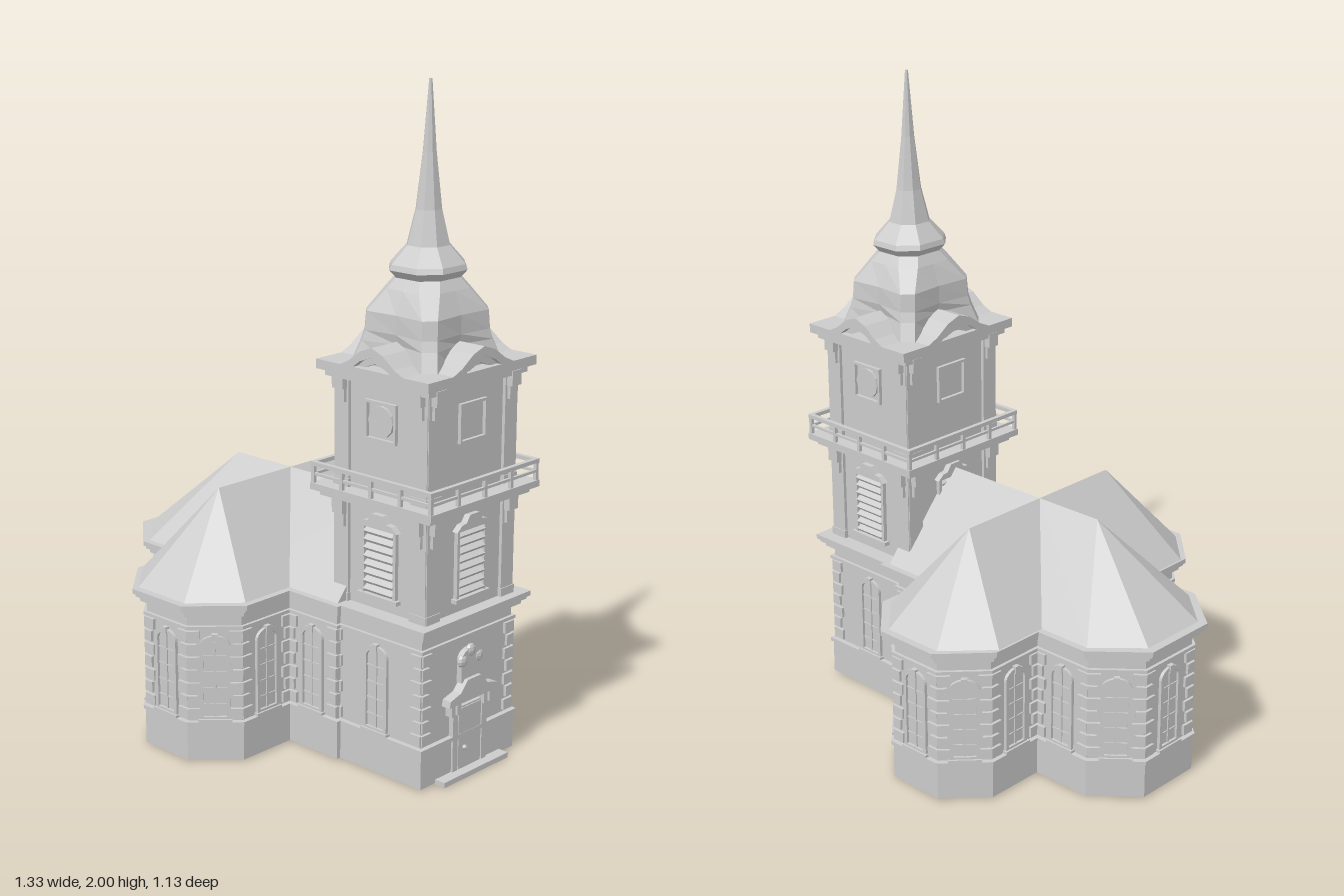
import * as THREE from 'three';
import { ConvexGeometry } from 'three/addons/geometries/ConvexGeometry.js';

const mat = new THREE.MeshStandardMaterial({ color: 0xcccccc, flatShading: true });
const TX = 0.43; // tower axis

function add(parent, name, geo, x = 0, y = 0, z = 0) {
  const m = new THREE.Mesh(geo, mat);
  m.name = name;
  m.position.set(x, y, z);
  parent.add(m);
  return m;
}
const box = (parent, name, w, h, d, x, y, z) =>
  add(parent, name, new THREE.BoxGeometry(w, h, d), x, y, z);
const extrude = (shape, depth) =>
  new THREE.ExtrudeGeometry(shape, { depth, bevelEnabled: false, curveSegments: 6 });
const polyShape = pts => new THREE.Shape(pts.map(p => new THREE.Vector2(p[0], p[1])));

// group whose local +z points out of a wall
function facing(parent, name, x, z, nx, nz) {
  const g = new THREE.Group();
  g.name = name;
  g.position.set(x, 0, z);
  g.rotation.y = Math.atan2(nx, nz);
  parent.add(g);
  return g;
}

// edges of a plan with outward normals
const edges = poly => poly.map((a, i) => {
  const b = poly[(i + 1) % poly.length];
  const dx = b[0] - a[0], dz = b[1] - a[1], len = Math.hypot(dx, dz);
  return { len, nx: dz / len, nz: -dx / len, x: (a[0] + b[0]) / 2, z: (a[1] + b[1]) / 2 };
});
// shrink a plan by d, mitred
function inset(poly, d) {
  const e = edges(poly);
  return poly.map((p, i) => {
    const a = e[(i + poly.length - 1) % poly.length], b = e[i];
    const k = d / (1 + a.nx * b.nx + a.nz * b.nz);
    return [p[0] - (a.nx + b.nx) * k, p[1] - (a.nz + b.nz) * k];
  });
}

function arch(w, h, y0 = 0, path = new THREE.Shape()) {
  const r = w / 2, rise = r * 0.7;
  path.moveTo(-r, y0);
  path.lineTo(r, y0);
  path.lineTo(r, h - rise);
  path.absellipse(0, h - rise, r, rise, 0, Math.PI, false);
  path.lineTo(-r, y0);
  return path;
}

function archedWindow(g) {
  const frame = arch(0.09, 0.265);
  frame.holes.push(arch(0.068, 0.252, 0.012, new THREE.Path()));
  add(g, 'windowFrame', extrude(frame, 0.01), 0, 0.13, 0);
  add(g, 'windowPane', extrude(arch(0.07, 0.255), 0.002), 0, 0.13, 0);
  box(g, 'mullion', 0.006, 0.24, 0.006, 0, 0.255, 0.003);
  for (let i = 0; i < 4; i++) box(g, 'glazingBar', 0.068, 0.004, 0.005, 0, 0.18 + i * 0.05, 0.003);
  box(g, 'keystone', 0.018, 0.022, 0.014, 0, 0.39, 0.007);
  box(g, 'windowSill', 0.1, 0.01, 0.018, 0, 0.13, 0.007);
}

// lower storey over a plan: plinth, walls, bands, quoins and windows
function storey(root, name, eave) {
  const g = new THREE.Group();
  g.name = name;
  root.add(g);
  const layers = [
    ['plinth', 0.03, 0.005, 0.115], ['plinthLip', 0.024, 0.115, 0.127], ['wall', 0.04, 0.127, 0.47],
    ['stringCourse', 0.03, 0.415, 0.425], ['corniceStep', 0.02, 0.46, 0.475], ['cornice', 0.008, 0.475, 0.485], ['eave', 0, 0.485, 0.5],
  ];
  for (const [n, d, y0, y1] of layers) {
    const geo = extrude(polyShape(inset(eave, d).map(p => [p[0], -p[1]])), y1 - y0).rotateX(-Math.PI / 2);
    add(g, n, geo, 0, y0, 0);
  }
  for (const e of edges(inset(eave, 0.04))) {
    if (e.nx < -0.9 && e.x > 0.15) continue;
    if (e.nx > 0.9 && e.x > 0.2 && e.x < 0.4) continue;
    const w = facing(g, 'wallDetail', e.x, e.z, e.nx, e.nz);
    for (const s of [-1, 1]) for (let i = 0; i < 7; i++) {
      const q = i % 2 ? 0.03 : 0.04;
      box(w, 'quoin', q, 0.033, 0.018, s * (e.len / 2 - q / 2 + 0.004), 0.15 + i * 0.0405, 0);
    }
    if (e.nx < 0.9 || e.x < 0.2) archedWindow(w);
  }
}

// hipped or gabled arm of the roof, running along +x before rotation
function roofArm(g, name, halfW, ridge, shoulder, end, nose, turn) {
  const pts = [[0, 0.775, 0], [ridge, 0.775, 0]];
  for (const s of [-1, 1]) pts.push([0, 0.498, s * halfW], [shoulder, 0.498, s * halfW], [end, 0.498, s * nose]);
  const m = add(g, name, new ConvexGeometry(pts.map(p => new THREE.Vector3(...p))), -0.115, 0, 0);
  m.rotation.y = turn;
}

// cornice profile with a swept-up centre; a flat base makes it a solid gable
function hump(halfW, y, thick, flatBase) {
  const rise = [[-1, 0], [-0.56, 0], [-0.4, 0.25], [-0.2, 0.75], [0, 1], [0.2, 0.75], [0.4, 0.25], [0.56, 0], [1, 0]]
    .map(([t, h]) => [t * halfW, y + h * 0.065]);
  const low = flatBase ? [[halfW, y - thick], [-halfW, y - thick]] : rise.map(p => [p[0], p[1] - thick]).reverse();
  return polyShape([...rise, ...low]);
}
function crossHump(g, name, hx, hz, y, thick, flatBase) {
  add(g, name, extrude(hump(hx, y, thick, flatBase), hz * 2), TX, 0, -hz);
  add(g, name, extrude(hump(hz, y, thick, flatBase), hx * 2).rotateY(Math.PI / 2), TX - hx, 0, 0);
}

// onion cap and spire: rings of [y, half width, corner cut, mid-side half width]
function spireGeometry() {
  const rings = [
    [1.19, 0.165, 0.03, 0.12], [1.27, 0.142, 0.03, 0.118], [1.3, 0.136, 0.03, 0.125], [1.355, 0.133, 0.03, 0.125],
    [1.42, 0.1, 0.04, 0.1], [1.45, 0.082, 0.04, 0.082], [1.472, 0.1, 0.05, 0.1], [1.488, 0.096, 0.05, 0.096],
    [1.54, 0.056, 0.03, 0.056], [1.64, 0.035, 0.02, 0.035], [1.8, 0.018, 0.01, 0.018], [2, 0.004, 0.002, 0.004],
  ];
  const pos = [], idx = [], n = 12;
  for (const [y, h, c, m] of rings) for (let k = 0; k < 4; k++) {
    const cs = Math.round(Math.cos(k * Math.PI / 2)), sn = Math.round(Math.sin(k * Math.PI / 2));
    for (const [a, b] of [[m, 0], [h, h - c], [h - c, h]]) pos.push(a * cs - b * sn, y, (a * sn + b * cs) * 1.07);
  }
  for (let j = 0; j < rings.length - 1; j++) for (let i = 0; i < n; i++) {
    const a = j * n + i, b = j * n + (i + 1) % n;
    idx.push(a, a + n, b + n, a, b + n, b);
  }
  const top = (rings.length - 1) * n;
  for (let i = 1; i < n - 1; i++) idx.push(top, top + i + 1, top + i);
  const geo = new THREE.BufferGeometry();
  geo.setAttribute('position', new THREE.Float32BufferAttribute(pos, 3));
  geo.setIndex(idx);
  geo.computeVertexNormals();
  return geo;
}

function buildTower(root) {
  const g = new THREE.Group();
  g.name = 'tower';
  root.add(g);
  const hx = 0.168, hz = 0.186;
  box(g, 'shaft', hx * 2, 0.7, hz * 2, TX, 0.84, 0);
  crossHump(g, 'gableWall', hx, hz, 1.19, 0.06, true);
  crossHump(g, 'corniceMoulding', 0.195, 0.215, 1.192, 0.025, false);
  crossHump(g, 'curvedCornice', 0.21, 0.235, 1.215, 0.028, false);
  box(g, 'balconyCorbel', 0.42, 0.018, 0.44, TX, 0.818, 0);
  box(g, 'balconyFloor', 0.46, 0.02, 0.48, TX, 0.836, 0);
  add(g, 'spire', spireGeometry(), TX, 0, 0);

  for (const [nx, nz] of [[0, 1], [1, 0], [0, -1], [-1, 0]]) {
    const out = nx ? hx : hz, half = nx ? hz : hx;
    const f = facing(g, 'towerFace', TX + nx * out, nz * out, nx, nz);
    // corner pilasters and brackets of both stages
    for (const s of [-1, 1]) {
      for (const [y0, y1] of [[0.5, 0.81], [0.845, 1.18]]) {
        box(f, 'pilaster', 0.055, y1 - y0, 0.02, s * (half - 0.0205), (y0 + y1) / 2, 0);
        box(f, 'pilasterBase', 0.06, 0.025, 0.026, s * (half - 0.02), y0 + 0.0125, 0);
        box(f, 'bracketUpper', 0.04, 0.045, 0.06, s * (half - 0.022), y1 - 0.022, 0);
        box(f, 'bracketLower', 0.034, 0.04, 0.04, s * (half - 0.022), y1 - 0.064, 0);
      }
    }
    // louvred opening with pediment
    for (const s of [-1, 1]) box(f, 'louvreJamb', 0.01, 0.21, 0.016, s * 0.06, 0.64, 0.005);
    box(f, 'louvreSill', 0.15, 0.012, 0.024, 0, 0.54, 0.008);
    for (let i = 0; i < 8; i++) box(f, 'louvre', 0.11, 0.01, 0.024, 0, 0.56 + i * 0.025, 0.004).rotation.x = 0.6;
    add(f, 'louvrePediment', extrude(polyShape([[-0.075, 0.748], [0.075, 0.748], [0.055, 0.765], [0.035, 0.768], [0.02, 0.79], [-0.02, 0.79], [-0.035, 0.768], [-0.055, 0.765]]), 0.02));
    // square clock panel
    for (const s of [-1, 1]) {
      box(f, 'clockFrameSide', 0.008, 0.116, 0.014, s * 0.054, 1.06, 0.004);
      box(f, 'clockFrameRail', 0.116, 0.008, 0.014, 0, 1.06 + s * 0.054, 0.004);
    }
    if (nz) add(f, 'clockFace', new THREE.CylinderGeometry(0.046, 0.046, 0.01, 12).rotateX(Math.PI / 2), 0, 1.06, 0.004);
    // balustrade
    const rz = (nx ? 0.222 : 0.232) - out, rw = nx ? 0.232 : 0.222;
    box(f, 'handrail', rw * 2 + 0.012, 0.012, 0.014, 0, 0.904, rz);
    box(f, 'middleRail', rw * 2, 0.008, 0.008, 0, 0.873, rz);
    for (let i = 0; i < 5; i++) box(f, 'railPost', 0.011, 0.065, 0.011, -rw + i * rw / 2, 0.872, rz);
  }
}

function buildEntrance(root) {
  const f = facing(root, 'entrance', 0.6, 0, 1, 0);
  box(f, 'doorStep', 0.29, 0.016, 0.08, 0, 0.008, 0.005);
  box(f, 'doorSurround', 0.15, 0.2, 0.024, 0, 0.11, 0);
  box(f, 'door', 0.1, 0.19, 0.03, 0, 0.11, 0);
  add(f, 'doorKnob', new THREE.SphereGeometry(0.008, 8, 6), -0.025, 0.08, 0.018);
  for (const s of [-1, 1]) {
    box(f, 'doorPilaster', 0.022, 0.2, 0.032, s * 0.065, 0.11, 0);
    for (const k of [0.06, 0.085]) box(f, 'hoodBracket', 0.016, 0.04, 0.05, s * k, 0.215, 0);
  }
  const hood = polyShape([[-0.11, 0.23], [0.11, 0.23], [0.105, 0.25], [0.06, 0.262], [0.03, 0.295], [-0.03, 0.295], [-0.06, 0.262], [-0.105, 0.25]]);
  add(f, 'doorHood', extrude(hood, 0.03));
  add(f, 'carvedPanel', extrude(arch(0.09, 0.1), 0.018), 0, 0.285, 0);
  for (const x of [-0.035, 0, 0.035]) {
    const knob = add(f, 'carving', new THREE.SphereGeometry(0.02, 8, 6), x, x ? 0.35 : 0.375, 0.012);
    knob.scale.z = 0.6;
  }
}

export function createModel() {
  const root = new THREE.Group();
  root.name = 'church';
  // eave outline of the cross-shaped nave, one half mirrored in z
  const half = [[0.325, 0.255], [0.13, 0.255], [0.13, 0.43], [-0.005, 0.565], [-0.215, 0.565], [-0.345, 0.43], [-0.345, 0.255], [-0.52, 0.255], [-0.67, 0.125]];
  storey(root, 'nave', [...half, ...half.map(p => [p[0], -p[1]]).reverse()]);
  storey(root, 'towerBase', [[0.64, 0.24], [0.22, 0.24], [0.22, -0.24], [0.64, -0.24]]);

  const roof = new THREE.Group();
  roof.name = 'roof';
  root.add(roof);
  roofArm(roof, 'eastRoof', 0.235, 0.42, 0.41, 0.42, 0.235, 0);
  roofArm(roof, 'westRoof', 0.235, 0.23, 0.4, 0.53, 0.115, Math.PI);
  for (const s of [-1, 1]) roofArm(roof, 'transeptRoof', 0.225, 0.305, 0.415, 0.543, 0.1, s * Math.PI / 2);

  buildTower(root);
  buildEntrance(root);
  return root;
}
